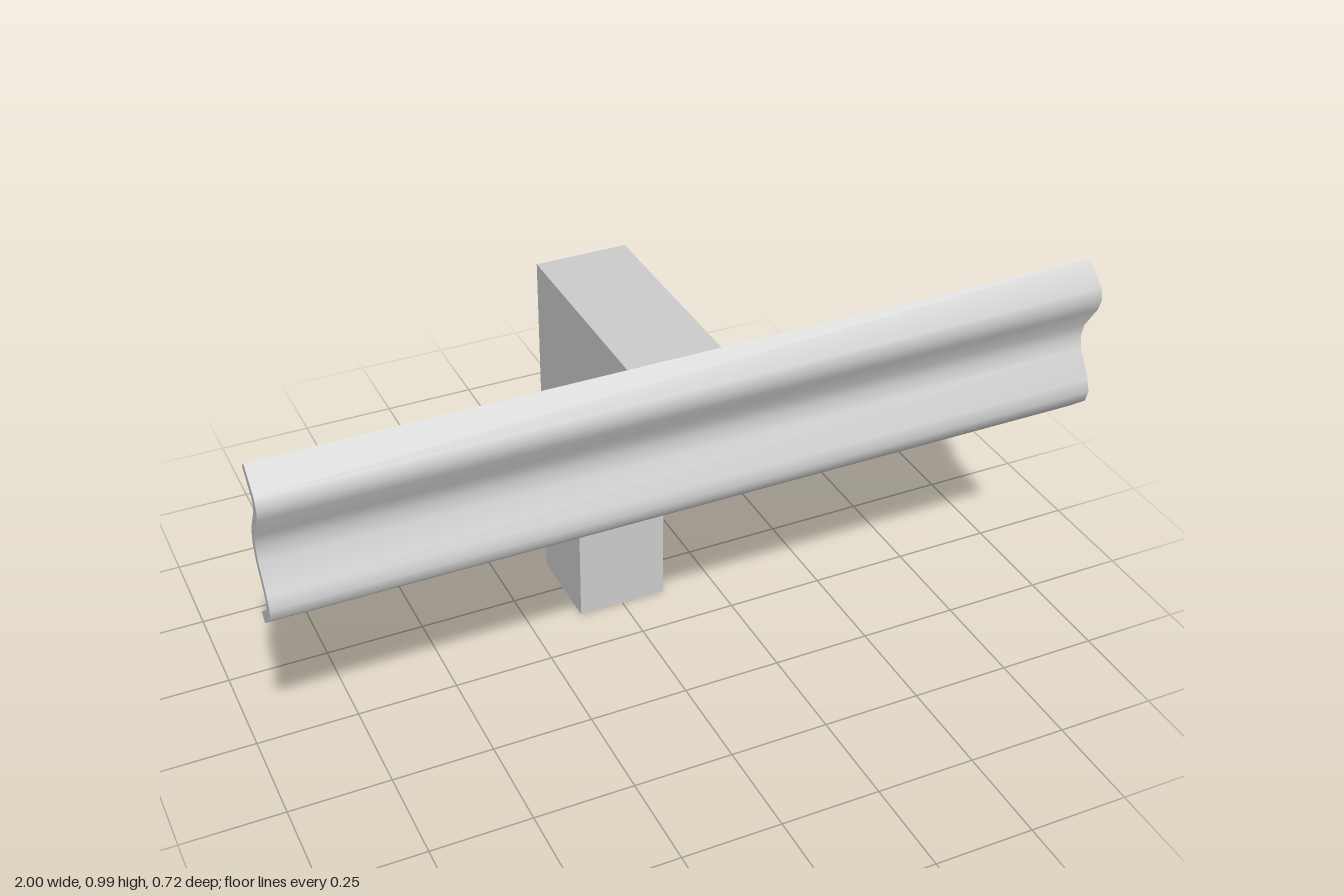
import * as THREE from 'three';
import { toCreasedNormals } from 'three/addons/utils/BufferGeometryUtils.js';

const MID_Y = 0.783; // height of the rail's centre line

// Extrudes a side profile of [z, y] points across x, centred on x = 0.
function extrudeAcross(points, width) {
  const shape = new THREE.Shape(points.map(([z, y]) => new THREE.Vector2(z, y)));
  const geometry = new THREE.ExtrudeGeometry(shape, { depth: width, bevelEnabled: false });
  geometry.translate(0, 0, -width / 2);
  geometry.rotateY(-Math.PI / 2);
  return geometry;
}

// Mirrors the upper half of a rail face about the centre line, top to bottom.
function mirrorDown(half) {
  const lower = half.slice(0, -1).reverse().map(([z, y]) => [z, 2 * MID_Y - y]);
  return [...half, ...lower];
}

export function createModel() {
  const group = new THREE.Group();
  const material = new THREE.MeshStandardMaterial({ color: 0xcccccc });

  const add = (name, geometry) => {
    const mesh = new THREE.Mesh(geometry, material);
    mesh.name = name;
    group.add(mesh);
  };

  // Corrugated rail: front and back faces of a bent sheet
  const front = mirrorDown([
    [0.294, 0.985], [0.35, 0.937], [0.358, 0.908],
    [0.348, 0.878], [0.308, 0.815], [0.301, MID_Y],
  ]);
  const back = mirrorDown([
    [0.278, 0.967], [0.329, 0.923], [0.334, 0.907],
    [0.327, 0.887], [0.287, 0.822], [0.279, MID_Y],
  ]);
  add('guardRail', toCreasedNormals(extrudeAcross([...front, ...back.reverse()], 2), 1));

  // L-shaped post with its arm reaching forward to the rail
  add('post', extrudeAcross([
    [-0.357, 0], [-0.128, 0], [-0.128, 0.673],
    [0.282, 0.673], [0.282, 0.9], [-0.357, 0.9],
  ], 0.23));

  return group;
}
